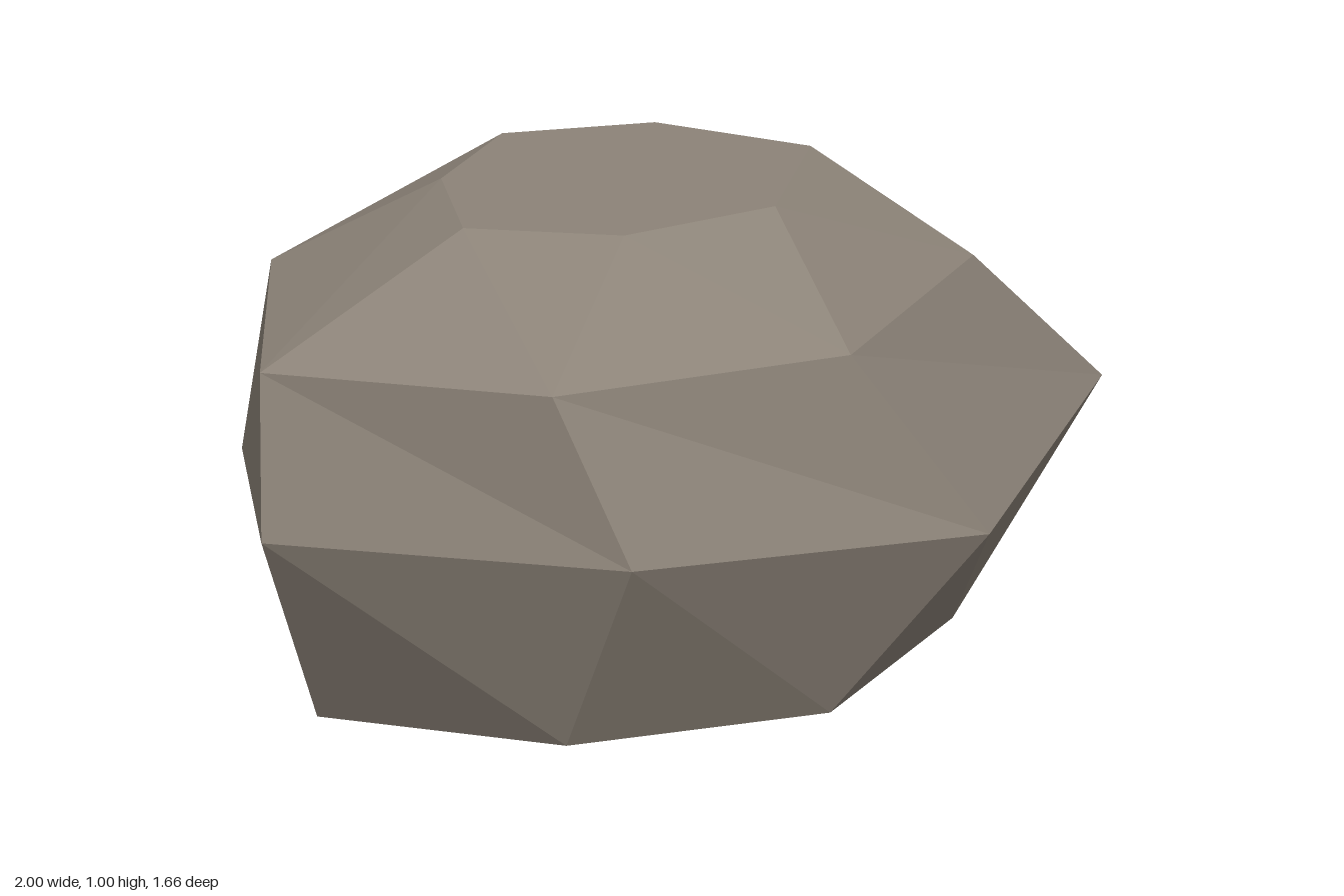
import * as THREE from 'three';

// Horizontal cross-sections, bottom to top; each point is [x, y, z]
const rings = [
  [[0.6, 0, 0.34], [0, 0, 0.59], [-0.53, 0, 0.36], [-0.76, 0, -0.13], [-0.345, 0, -0.48], [0.17, 0, -0.59], [0.54, 0, -0.23]],
  [[1, 0.435, 0.37], [0.22, 0.39, 0.83], [-0.57, 0.44, 0.59], [-1, 0.45, -0.05], [-0.5, 0.4, -0.61], [0.18, 0.42, -0.83], [0.78, 0.425, -0.41]],
  [[0.645, 0.775, 0.355], [-0.02, 0.795, 0.67], [-0.64, 0.795, 0.43], [-0.935, 0.785, -0.12], [-0.485, 0.82, -0.54], [0.08, 0.77, -0.67], [0.53, 0.78, -0.29]],
  [[0.43, 1, 0.1], [0.11, 1, 0.32], [-0.24, 1, 0.235], [-0.44, 1, -0.03], [-0.25, 1, -0.285], [0.04, 1, -0.4], [0.31, 1, -0.23]],
];

// Joins the cross-sections with triangles and closes both ends
function loft(sections) {
  const n = sections[0].length;
  const positions = [];
  const tri = (a, b, c) => positions.push(...a, ...b, ...c);
  for (let r = 0; r < sections.length - 1; r++) {
    const low = sections[r], high = sections[r + 1];
    for (let i = 0; i < n; i++) {
      const j = (i + 1) % n;
      tri(low[i], high[i], high[j]);
      tri(low[i], high[j], low[j]);
    }
  }
  const base = sections[0], top = sections[sections.length - 1];
  for (let i = 1; i < n - 1; i++) {
    tri(base[0], base[i], base[i + 1]);
    tri(top[0], top[i + 1], top[i]);
  }
  const geometry = new THREE.BufferGeometry();
  geometry.setAttribute('position', new THREE.Float32BufferAttribute(positions, 3));
  geometry.computeVertexNormals(); // unshared corners give flat facets
  return geometry;
}

export function createModel() {
  const group = new THREE.Group();
  group.name = 'rock';

  const stone = new THREE.MeshStandardMaterial({ color: 0x8c8378 });
  stone.name = 'warm grey stone';
  stone.flatShading = true;

  // Faceted boulder
  const boulder = new THREE.Mesh(loft(rings), stone);
  boulder.name = 'boulder';
  group.add(boulder);
  return group;
}
